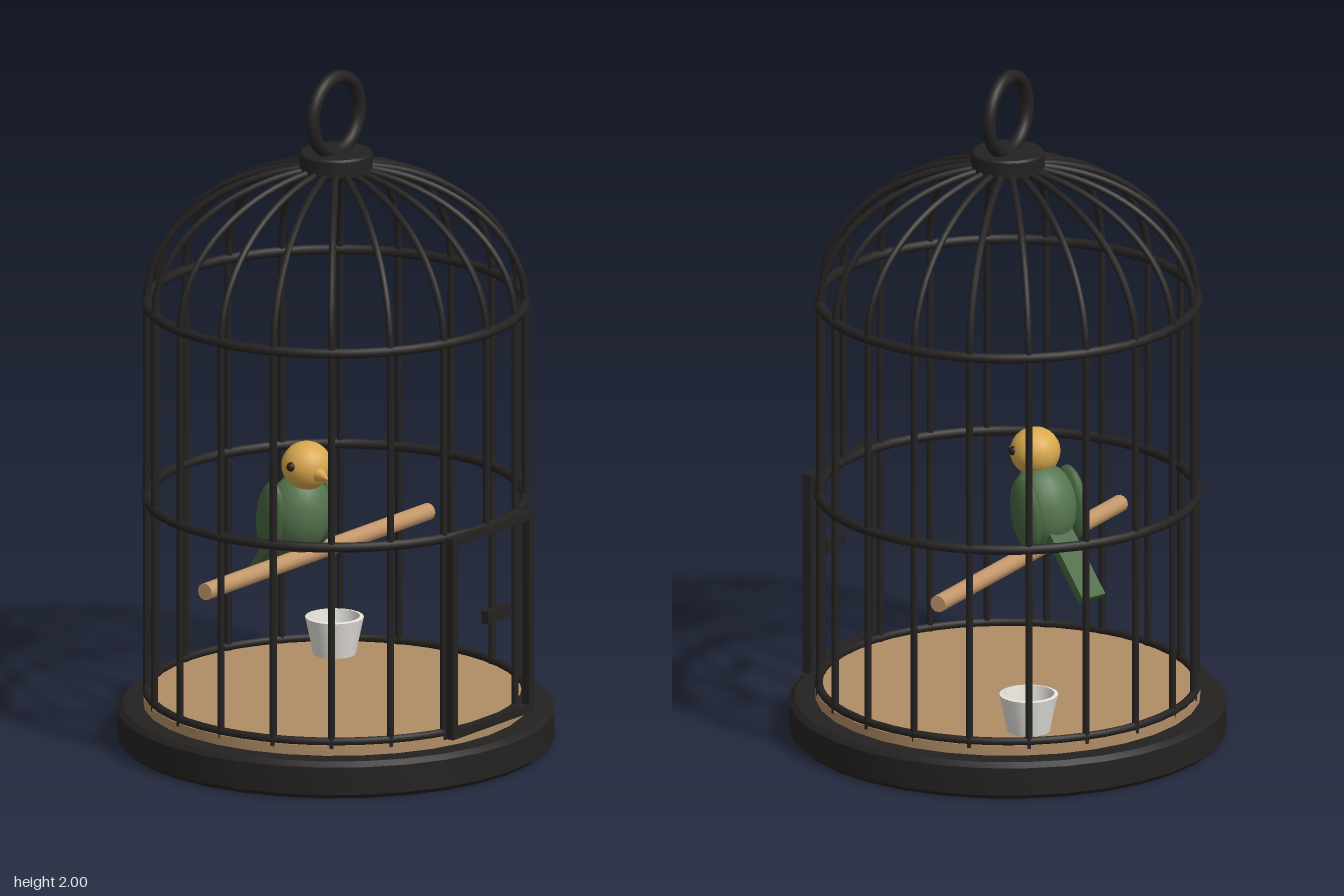
import * as THREE from 'three';
import { toCreasedNormals } from 'three/addons/utils/BufferGeometryUtils.js';

const paint = (color) => new THREE.MeshStandardMaterial({ color });
const iron = paint(0x242221), wood = paint(0xb08d66), perchWood = paint(0xc4976a);
const green = paint(0x55754f), darkGreen = paint(0x47663f), yellow = paint(0xd9a94e);
const beakColor = paint(0xe0a550), black = paint(0x2a1c14);
const china = paint(0xe6e3dc);
china.side = THREE.DoubleSide;

function add(parent, name, geometry, material, x = 0, y = 0, z = 0) {
  const mesh = new THREE.Mesh(geometry, material);
  mesh.name = name;
  mesh.position.set(x, y, z);
  parent.add(mesh);
  return mesh;
}

function lathe(points, segments) {
  const profile = points.map(([r, y]) => new THREE.Vector2(r, y));
  return toCreasedNormals(new THREE.LatheGeometry(profile, segments), 0.6);
}

const ellipsoid = (a, b, c) => new THREE.SphereGeometry(1, 20, 14).scale(a, b, c);

const R = 0.545, WALL_TOP = 1.31, DOME = 0.405, MID = 0.73, FLOOR = 0.14;

function buildBars() {
  const bars = new THREE.Group();
  bars.name = 'bars';
  // quarter-ellipse rib from wall top to crown
  const rib = [];
  for (let i = 0; i <= 10; i++) {
    const a = (i / 10) * 1.5;
    rib.push(new THREE.Vector3(0, WALL_TOP + DOME * Math.sin(a), R * Math.cos(a)));
  }
  const ribGeo = new THREE.TubeGeometry(new THREE.CatmullRomCurve3(rib), 20, 0.0105, 8);
  for (let i = 0; i < 20; i++) {
    const angle = (i / 20) * Math.PI * 2;
    const bottom = i === 0 ? MID : FLOOR - 0.01; // front bar stops above the door
    const h = WALL_TOP - bottom;
    add(bars, 'wallBar', new THREE.CylinderGeometry(0.0105, 0.0105, h, 8), iron,
      R * Math.sin(angle), bottom + h / 2, R * Math.cos(angle));
    add(bars, 'domeBar', ribGeo, iron).rotation.y = angle;
  }
  // horizontal hoops
  for (const [y, tube] of [[0.15, 0.012], [MID, 0.015], [WALL_TOP, 0.015]]) {
    add(bars, 'hoop', new THREE.TorusGeometry(R, tube, 8, 48), iron, 0, y, 0).rotation.x = Math.PI / 2;
  }
  return bars;
}

function buildDoor() {
  const door = new THREE.Group();
  door.name = 'door';
  const z = 0.557, bottom = 0.14, top = 0.74, w = 0.024;
  for (const s of [-1, 1]) {
    add(door, 'doorPost', new THREE.BoxGeometry(w, top - bottom, 0.026), iron, s * 0.18, (top + bottom) / 2, z);
  }
  for (const y of [bottom + w / 2, top - w / 2]) {
    add(door, 'doorRail', new THREE.BoxGeometry(0.384, w, 0.026), iron, 0, y, z);
  }
  add(door, 'latch', new THREE.BoxGeometry(0.106, 0.036, 0.024), iron, 0, 0.477, 0.579);
  return door;
}

function buildBird() {
  const bird = new THREE.Group();
  bird.name = 'bird';
  bird.position.set(-0.07, 0.68, -0.08);
  bird.rotation.y = -0.35;

  add(bird, 'body', ellipsoid(0.095, 0.125, 0.092), green).rotation.x = 0.2;
  add(bird, 'head', ellipsoid(0.073, 0.071, 0.073), yellow, 0, 0.152, 0.04);
  add(bird, 'beak', new THREE.ConeGeometry(0.025, 0.06, 12), beakColor, 0, 0.138, 0.127).rotation.x = Math.PI / 2 + 0.1;
  for (const s of [-1, 1]) {
    add(bird, 'eye', ellipsoid(0.014, 0.014, 0.014), black, s * 0.065, 0.162, 0.06);
    const wing = add(bird, 'wing', ellipsoid(0.028, 0.11, 0.062), darkGreen, s * 0.085, -0.005, -0.02);
    wing.rotation.x = 0.2;
  }
  // tail slopes down and back
  const tail = add(bird, 'tail', new THREE.BoxGeometry(0.085, 0.26, 0.025), darkGreen, 0, -0.135, -0.125);
  tail.rotation.x = 0.74;
  return bird;
}

export function createModel() {
  const cage = new THREE.Group();
  cage.name = 'birdCage';

  // tray and floor
  add(cage, 'base', lathe([[0, 0], [0.615, 0], [0.63, 0.014], [0.63, 0.096], [0.615, 0.11], [0, 0.11]], 32), iron);
  add(cage, 'floor', new THREE.CylinderGeometry(0.555, 0.555, 0.04, 32), wood, 0, FLOOR - 0.02, 0);

  cage.add(buildBars(), buildDoor());

  // crown and hanging ring
  add(cage, 'crown', lathe([[0, 1.7], [0.1, 1.7], [0.106, 1.706], [0.106, 1.754], [0.1, 1.76], [0, 1.76]], 24), iron);
  add(cage, 'hangingRing', new THREE.TorusGeometry(0.111, 0.02, 10, 32), iron, 0, 1.869, 0);

  add(cage, 'perch', new THREE.CylinderGeometry(0.025, 0.025, 1.06, 12), perchWood, 0, 0.55, -0.07).rotation.z = Math.PI / 2;
  cage.add(buildBird());

  // hollow food bowl
  add(cage, 'bowl', lathe([[0, 0], [0.062, 0], [0.07, 0.04], [0.085, 0.11], [0.074, 0.112], [0.058, 0.035], [0, 0.028]], 20),
    china, 0.327, FLOOR, -0.255);
  return cage;
}
